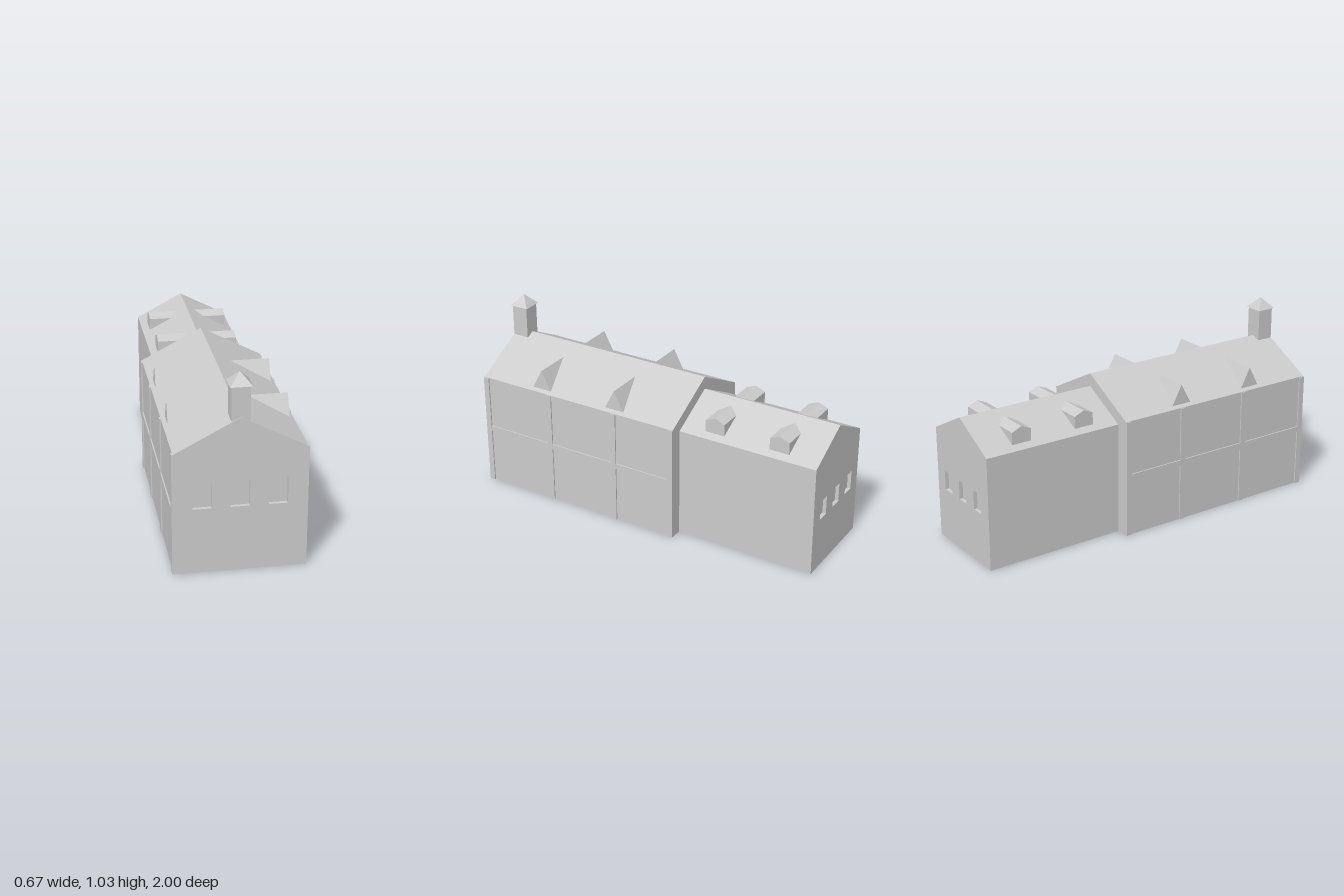
import * as THREE from 'three';

const material = new THREE.MeshStandardMaterial({ color: 0xcccccc, flatShading: true, side: THREE.DoubleSide });

function add(parent, name, geometry, x = 0, y = 0, z = 0) {
  const mesh = new THREE.Mesh(geometry, material);
  mesh.name = name;
  mesh.position.set(x, y, z);
  parent.add(mesh);
  return mesh;
}

// Flat-shaded geometry from a list of quads or triangles (corners counter-clockwise)
function facesGeometry(faces) {
  const pos = [];
  for (const f of faces) {
    for (let i = 1; i < f.length - 1; i++) pos.push(...f[0], ...f[i], ...f[i + 1]);
  }
  const g = new THREE.BufferGeometry();
  g.setAttribute('position', new THREE.Float32BufferAttribute(pos, 3));
  g.computeVertexNormals();
  return g;
}

const gableProfile = ({ w, eave, ridge }) => [[-w, 0], [-w, eave], [0, ridge], [w, eave], [w, 0]];

// Side walls and roof slopes, open underneath
function shellGeometry(b) {
  const p = gableProfile(b);
  const faces = [];
  for (let i = 0; i < p.length - 1; i++) {
    const a = p[i], c = p[i + 1];
    faces.push([[...a, b.front], [...c, b.front], [...c, b.back], [...a, b.back]]);
  }
  return facesGeometry(faces);
}

// Gable wall facing +z with three recessed windows
function gableWall(b, win) {
  const group = new THREE.Group();
  const shape = new THREE.Shape(gableProfile(b).map(([x, y]) => new THREE.Vector2(x, y)));
  const h = win.top - win.bottom, depth = 0.02;
  for (const i of [-1, 0, 1]) {
    const x = i * win.spacing;
    const hole = [[-1, win.bottom], [1, win.bottom], [1, win.top], [-1, win.top]];
    shape.holes.push(new THREE.Path(hole.map(([s, y]) => new THREE.Vector2(x + s * win.half, y))));
    // Recess: a box without its front face, turned inside out
    const recess = new THREE.BoxGeometry(win.half * 2, h, depth);
    const index = Array.from(recess.index.array);
    index.splice(24, 6);
    recess.setIndex(index.reverse());
    recess.clearGroups();
    recess.attributes.normal.array.forEach((v, k, arr) => { arr[k] = -v; });
    add(group, 'windowRecess', recess, x, (win.top + win.bottom) / 2, -depth / 2);
  }
  add(group, 'gableFace', new THREE.ShapeGeometry(shape));
  return group;
}

// Dormer facing +x: each outline point (z, y) runs back level until it meets the roof
function dormerGeometry(outline, xFront, b) {
  const slope = (b.ridge - b.eave) / b.w;
  const front = outline.map(([z, y]) => [xFront, y, z]);
  const back = outline.map(([z, y]) => [(b.ridge - y) / slope, y, z]);
  const faces = [front];
  for (let i = 0; i < front.length - 1; i++) {
    faces.push([front[i + 1], front[i], back[i], back[i + 1]]);
  }
  return facesGeometry(faces);
}

function addDormers(parent, name, geometry, zs) {
  for (const z of zs) {
    for (const turn of [0, Math.PI]) add(parent, name, geometry, 0, 0, z).rotation.y = turn;
  }
}

export function createModel() {
  const model = new THREE.Group();
  model.name = 'building';
  const hall = { w: 0.327, eave: 0.644, ridge: 0.815, front: 0.995, back: -0.217 };
  const annex = { w: 0.258, eave: 0.61, ridge: 0.745, front: -0.217, back: -1 };

  // Main hall
  add(model, 'hallWallsAndRoof', shellGeometry(hall));
  const frontWall = gableWall(hall, { half: 0.047, spacing: 0.187, bottom: 0.347, top: 0.487 });
  frontWall.name = 'frontWall';
  frontWall.position.z = hall.front;
  model.add(frontWall);
  const backShape = new THREE.Shape(gableProfile(hall).map(([x, y]) => new THREE.Vector2(x, y)));
  add(model, 'hallBackWall', new THREE.ShapeGeometry(backShape), 0, 0, hall.back).rotation.y = Math.PI;

  // Pilasters and the string course between them
  const proud = 0.007;
  for (const s of [-1, 1]) {
    const x = s * (hall.w + proud / 2);
    for (const z of [0.979, 0.562, 0.15, -0.201]) {
      add(model, 'pilaster', new THREE.BoxGeometry(proud, 0.642, 0.032), x, 0.321, z);
    }
    const length = hall.front - hall.back;
    add(model, 'stringCourse', new THREE.BoxGeometry(proud, 0.03, length), x, 0.333, (hall.front + hall.back) / 2);
  }

  // Pointed dormers on the hall
  const pointed = [[-0.058, 0.655], [0, 0.763], [0.058, 0.655]];
  addDormers(model, 'pointedDormer', dormerGeometry(pointed, 0.305, hall), [0.62, 0.155]);

  // Rear annex
  add(model, 'annexWallsAndRoof', shellGeometry(annex));
  const rearWall = gableWall(annex, { half: 0.036, spacing: 0.148, bottom: 0.285, top: 0.39 });
  rearWall.name = 'rearWall';
  rearWall.position.z = annex.back;
  rearWall.rotation.y = Math.PI;
  model.add(rearWall);

  // House-shaped dormers on the annex
  const house = [[-0.055, 0.63], [-0.055, 0.695], [0, 0.718], [0.055, 0.695], [0.055, 0.63]];
  addDormers(model, 'houseDormer', dormerGeometry(house, 0.22, annex), [-0.405, -0.775]);

  // Turret with pyramid cap
  add(model, 'turret', new THREE.BoxGeometry(0.092, 0.185, 0.092), 0, 0.8875, 0.945);
  const cap = new THREE.ConeGeometry(0.055 * Math.SQRT2, 0.06, 4);
  add(model, 'turretCap', cap, 0, 1, 0.945).rotation.y = Math.PI / 4;

  return model;
}
